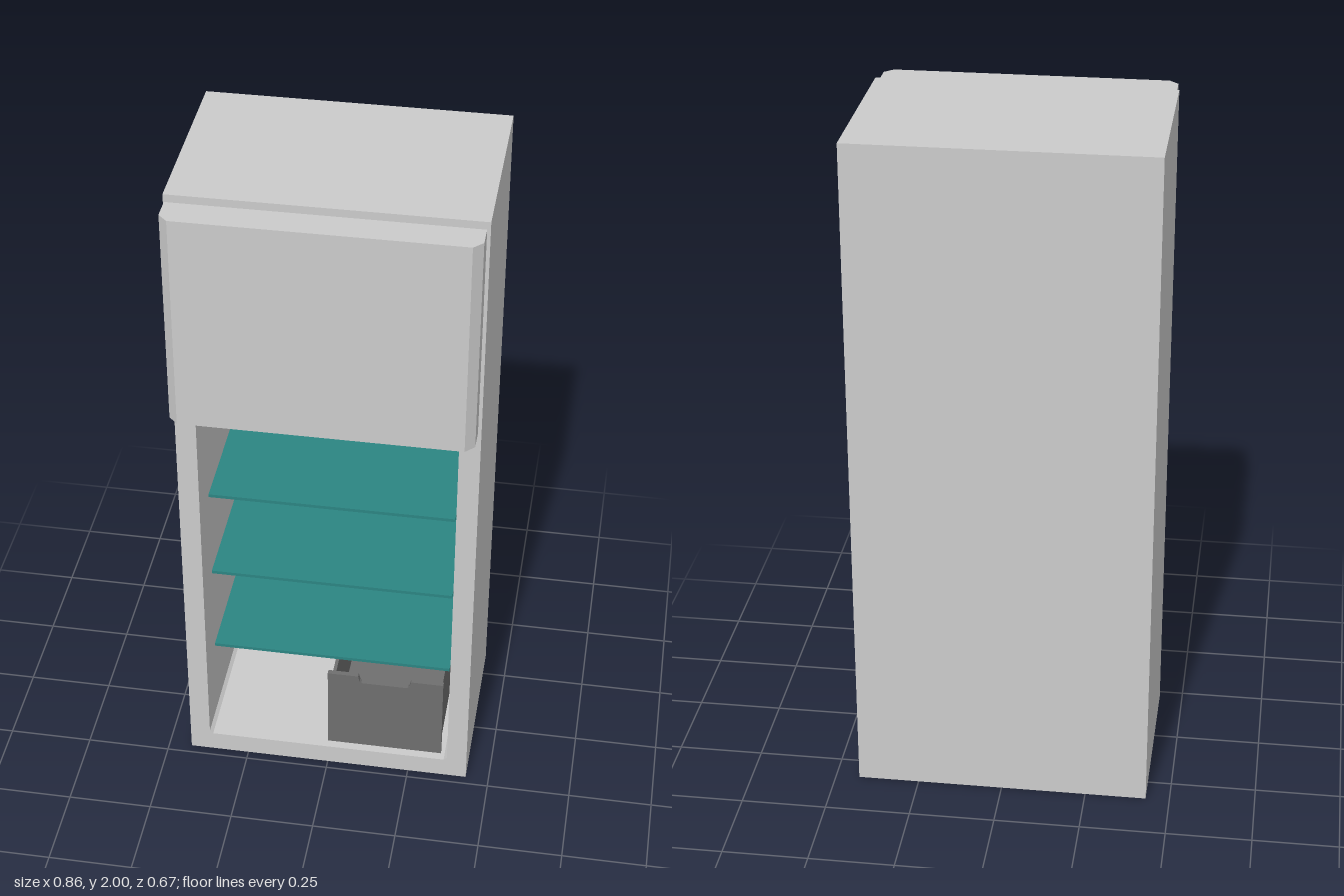
import * as THREE from 'three';

const grey = new THREE.MeshStandardMaterial({ color: 0xcccccc, flatShading: true });
const glass = new THREE.MeshStandardMaterial({ color: 0x2c8582, flatShading: true });
const dark = new THREE.MeshStandardMaterial({ color: 0x6f6f6f, flatShading: true });

function add(parent, name, geometry, material = grey) {
  const mesh = new THREE.Mesh(geometry, material);
  mesh.name = name;
  parent.add(mesh);
  return mesh;
}

// Box given by its limits on each axis
function box(x0, x1, y0, y1, z0, z1) {
  return new THREE.BoxGeometry(x1 - x0, y1 - y0, z1 - z0)
    .translate((x0 + x1) / 2, (y0 + y1) / 2, (z0 + z1) / 2);
}

// Counter-clockwise rectangle with cut corners
function cutRect(x0, x1, y0, y1, c) {
  return [
    [x0 + c, y0], [x1 - c, y0], [x1, y0 + c], [x1, y1 - c],
    [x1 - c, y1], [x0 + c, y1], [x0, y1 - c], [x0, y0 + c],
  ].map(([x, y]) => new THREE.Vector2(x, y));
}

// Recessed liner: rings joined front to back, then closed by a back wall
function linerGeometry(rings) {
  const pos = [], index = [];
  const n = rings[0].points.length;
  for (const { points, z } of rings) for (const p of points) pos.push(p.x, p.y, z);
  for (let r = 0; r < rings.length - 1; r++) {
    for (let i = 0; i < n; i++) {
      const a = r * n + i, b = r * n + (i + 1) % n;
      index.push(a, b, a + n, b, b + n, a + n);
    }
  }
  // Faces look into the cavity
  for (let k = 0; k < index.length; k += 3) {
    [index[k + 1], index[k + 2]] = [index[k + 2], index[k + 1]];
  }
  const last = (rings.length - 1) * n;
  for (let i = 1; i < n - 1; i++) index.push(last, last + i, last + i + 1);
  // The side walls run front to back, so their inner faces need this winding
  for (let k = 0; k < (rings.length - 1) * n * 6; k += 3) {
    [index[k + 1], index[k + 2]] = [index[k + 2], index[k + 1]];
  }
  const g = new THREE.BufferGeometry();
  g.setAttribute('position', new THREE.Float32BufferAttribute(pos, 3));
  g.setIndex(index);
  const flat = g.toNonIndexed();
  flat.computeVertexNormals();
  return flat;
}

export function createModel() {
  const model = new THREE.Group();
  model.name = 'refrigerator';
  const W = 0.43, front = 0.222, back = -0.335;

  // Cabinet shell without its front face
  const shell = box(-W, W, 0, 2, back, front);
  const idx = Array.from(shell.index.array);
  idx.splice(24, 6);
  shell.setIndex(idx);
  shell.clearGroups();
  add(model, 'cabinetShell', shell);

  // Front frame around the open lower compartment
  const opening = cutRect(-0.37, 0.37, 0.063, 1.265, 0.01);
  const frame = new THREE.Shape(cutRect(-W, W, 0, 2, 0));
  frame.holes.push(new THREE.Path(opening));
  add(model, 'frontFrame', new THREE.ShapeGeometry(frame).translate(0, 0, front));

  // Compartment liner with bevelled back edges
  add(model, 'compartmentLiner', linerGeometry([
    { points: opening, z: front },
    { points: opening, z: -0.3 },
    { points: cutRect(-0.36, 0.36, 0.073, 1.255, 0.006), z: -0.31 },
  ]));

  // Upper door with chamfered front edges, on its seal
  const doorShape = new THREE.Shape([
    [-0.422, -0.243], [-0.422, -0.307], [-0.396, -0.333],
    [0.396, -0.333], [0.422, -0.307], [0.422, -0.243],
  ].map(([x, y]) => new THREE.Vector2(x, y)));
  const door = new THREE.ExtrudeGeometry(doorShape, { depth: 0.65, bevelEnabled: false });
  door.rotateX(-Math.PI / 2).translate(0, 1.34, 0);
  add(model, 'upperDoor', door);
  add(model, 'doorSeal', box(-0.37, 0.37, 1.39, 1.94, front, 0.243));

  // Glass shelves
  for (const y of [0.365, 0.655, 0.945]) {
    add(model, 'shelf', box(-0.36, 0.36, y - 0.005, y + 0.005, -0.305, 0.145), glass);
  }

  // Drawer: front plate with a finger notch, and an open tray behind it
  const drawer = new THREE.Group();
  drawer.name = 'drawer';
  model.add(drawer);
  const plate = new THREE.Shape([
    [0.003, 0.1], [0.352, 0.1], [0.352, 0.38], [0.255, 0.38], [0.25, 0.36],
    [0.245, 0.355], [0.105, 0.355], [0.1, 0.36], [0.095, 0.38], [0.003, 0.38],
  ].map(([x, y]) => new THREE.Vector2(x, y)));
  const plateGeometry = new THREE.ExtrudeGeometry(plate, { depth: 0.015, bevelEnabled: false });
  add(drawer, 'drawerFront', plateGeometry.translate(0, 0, 0.218), dark);
  add(drawer, 'drawerBase', box(0.01, 0.345, 0.1, 0.11, -0.28, 0.218), dark);
  add(drawer, 'drawerBack', box(0.01, 0.345, 0.11, 0.34, -0.28, -0.27), dark);
  for (const x of [0.01, 0.335]) {
    add(drawer, 'drawerSide', box(x, x + 0.01, 0.11, 0.34, -0.27, 0.218), dark);
  }
  return model;
}
